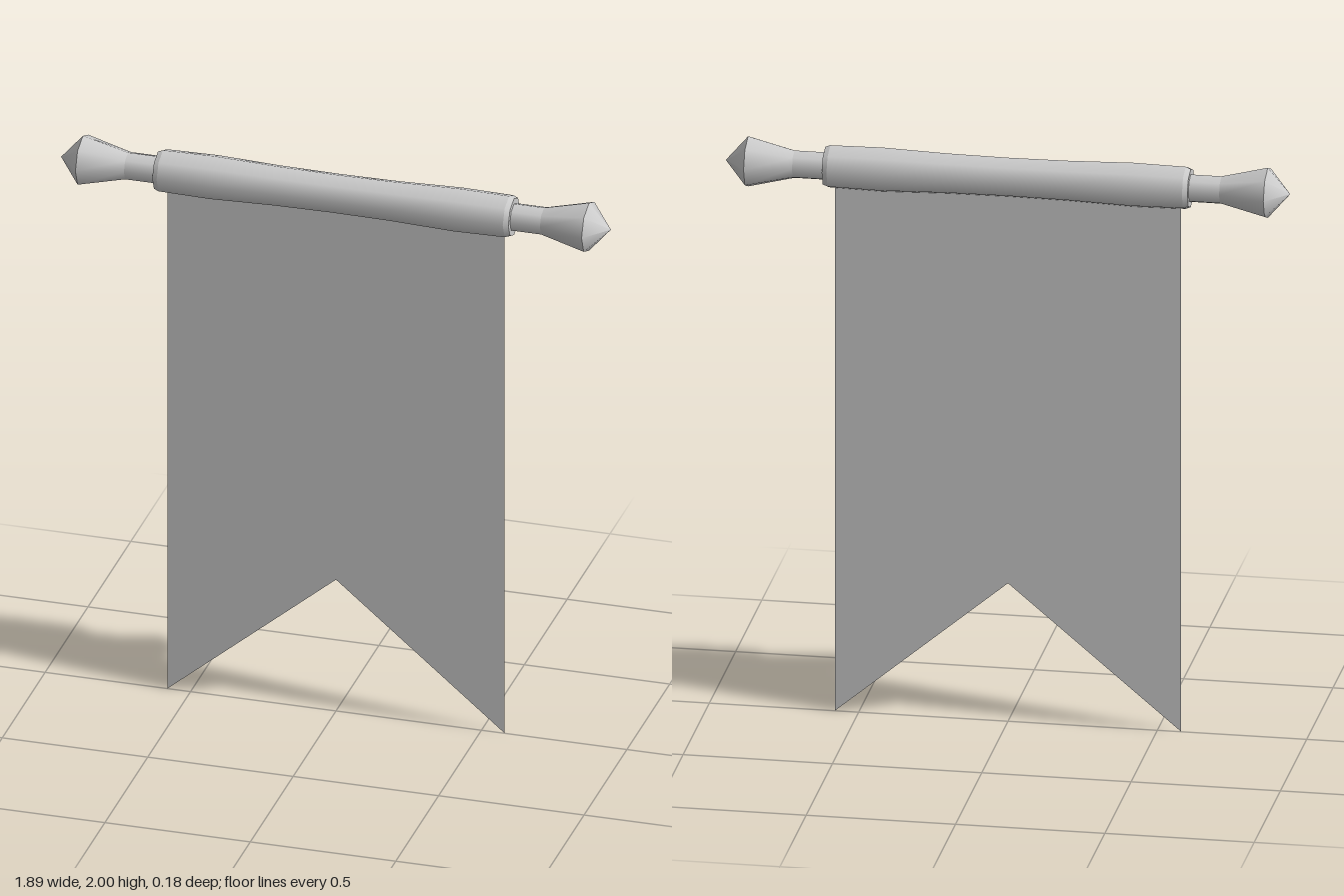
import * as THREE from 'three';

const ROD_Y = 1.912;
const SIDES = 8;

export function createModel() {
  const group = new THREE.Group();
  group.name = 'hangingBanner';
  const grey = new THREE.MeshStandardMaterial({ color: 0xcccccc });
  grey.name = 'light grey';
  const cloth = new THREE.MeshStandardMaterial({ color: 0xcccccc, side: THREE.DoubleSide });
  cloth.name = 'grey cloth';

  // Lathe around the x axis; profile is [distance along x, radius]
  function turned(name, profile, parent) {
    const points = profile.map(([x, r]) => new THREE.Vector2(r, x));
    const mesh = new THREE.Mesh(new THREE.LatheGeometry(points, SIDES), grey);
    mesh.name = name;
    mesh.rotation.z = -Math.PI / 2;
    parent.add(mesh);
  }

  // Both ends of the pole: shaft, flared knob and pointed tip
  for (const [name, turn] of [['leftEnd', 0], ['rightEnd', Math.PI]]) {
    const end = new THREE.Group();
    end.name = name;
    end.position.y = ROD_Y;
    end.rotation.y = turn;
    turned('shaft', [[0.55, 0.048], [0.715, 0.048]], end);
    turned('knob', [[0.715, 0.048], [0.87, 0.088]], end);
    turned('tip', [[0.87, 0.088], [0.945, 0]], end);
    turned('sleeveRim', [[0.595, 0.074], [0.612, 0.067]], end);
    turned('sleeveEnd', [[0.612, 0.067], [0.612, 0.04]], end);
    group.add(end);
  }

  // Rolled cloth sleeve, slightly waisted in the middle
  const sleeve = new THREE.Group();
  sleeve.name = 'clothSleeve';
  sleeve.position.y = ROD_Y;
  turned('sleeve', [
    [-0.595, 0.074], [-0.42, 0.077], [-0.2, 0.07], [0, 0.068],
    [0.2, 0.07], [0.42, 0.077], [0.595, 0.074],
  ], sleeve);
  group.add(sleeve);

  // Flat swallow-tailed banner
  const outline = [[-0.58, ROD_Y], [-0.58, 0], [0, 0.485], [0.58, 0], [0.58, ROD_Y]];
  const shape = new THREE.Shape(outline.map(([x, y]) => new THREE.Vector2(x, y)));
  const banner = new THREE.Mesh(new THREE.ShapeGeometry(shape), cloth);
  banner.name = 'banner';
  group.add(banner);

  return group;
}
